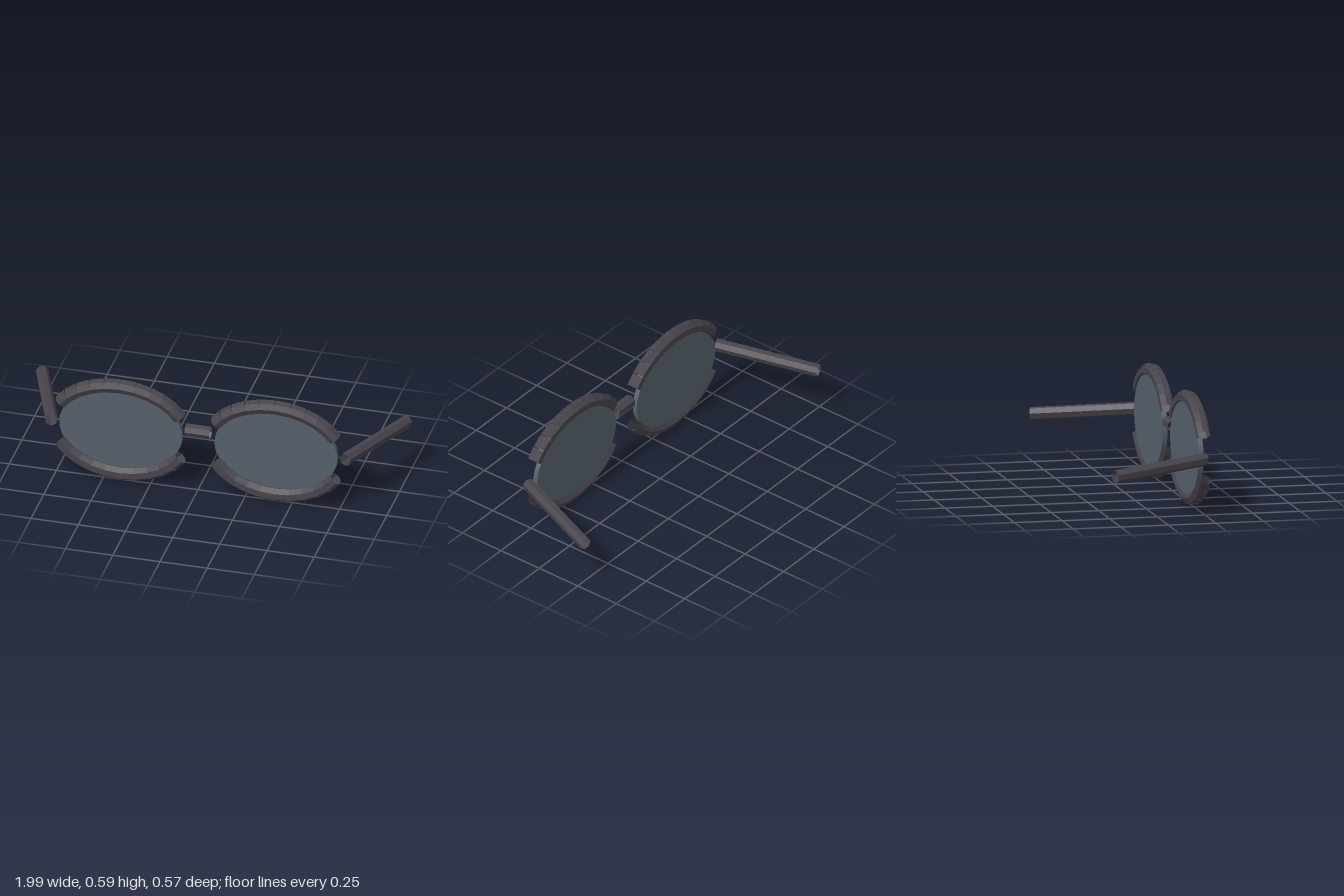
import * as THREE from 'three';

const frameMat = new THREE.MeshStandardMaterial({ color: 0x47444c, flatShading: true, side: THREE.DoubleSide });
const lensMat = new THREE.MeshStandardMaterial({ color: 0x56616b });

const SIDES = 7;
const UP = new THREE.Vector3(0, 1, 0);

// Straight open tube between two points; twist turns the facets about its axis
function bar(name, a, b, radius, twist = 0) {
  const dir = b.clone().sub(a);
  const geo = new THREE.CylinderGeometry(radius, radius, dir.length(), SIDES, 1, true);
  geo.rotateY(twist);
  const mesh = new THREE.Mesh(geo, frameMat);
  mesh.name = name;
  mesh.position.copy(a).add(b).multiplyScalar(0.5);
  mesh.quaternion.setFromUnitVectors(UP, dir.normalize());
  return mesh;
}

// Half rim: a chain of short tubes along an elliptical arc
function rimArc(name, sign) {
  const arc = new THREE.Group();
  arc.name = name;
  const count = 10, span = Math.PI * 0.7;
  const point = (i) => {
    const t = Math.PI / 2 + span * (i / count - 0.5);
    return new THREE.Vector3(0.355 * Math.cos(t), sign * 0.257 * Math.sin(t), 0.247);
  };
  for (let i = 0; i < count; i++) {
    // Run each piece towards +x so its tilt stays in the rim plane
    arc.add(bar('rimSegment', point(i + 1), point(i), 0.0375, sign > 0 ? 0 : Math.PI));
  }
  return arc;
}

function eyepiece(side, label) {
  const group = new THREE.Group();
  group.name = label + 'Eyepiece';
  group.position.set(side * 0.411, 0.2935, 0);
  group.add(rimArc('upperRim', 1), rimArc('lowerRim', -1));

  // Thin oval lens
  const geo = new THREE.CylinderGeometry(1, 1, 1, 48);
  geo.scale(0.325, 0.026, 0.235).rotateX(Math.PI / 2);
  const lens = new THREE.Mesh(geo, lensMat);
  lens.name = 'lens';
  lens.position.z = 0.233;
  group.add(lens);
  return group;
}

export function createModel() {
  const model = new THREE.Group();
  model.name = 'glasses';

  for (const [side, label] of [[1, 'left'], [-1, 'right']]) {
    model.add(eyepiece(side, label));
    // Temple arm splaying outwards and dropping slightly to the back
    model.add(bar(label + 'Temple',
      new THREE.Vector3(side * 0.777, 0.295, 0.246),
      new THREE.Vector3(side * 0.966, 0.256, -0.272), 0.034));
  }

  // Bridge over the nose
  model.add(bar('bridge', new THREE.Vector3(-0.065, 0.345, 0.245), new THREE.Vector3(0.065, 0.345, 0.245), 0.034));
  return model;
}
